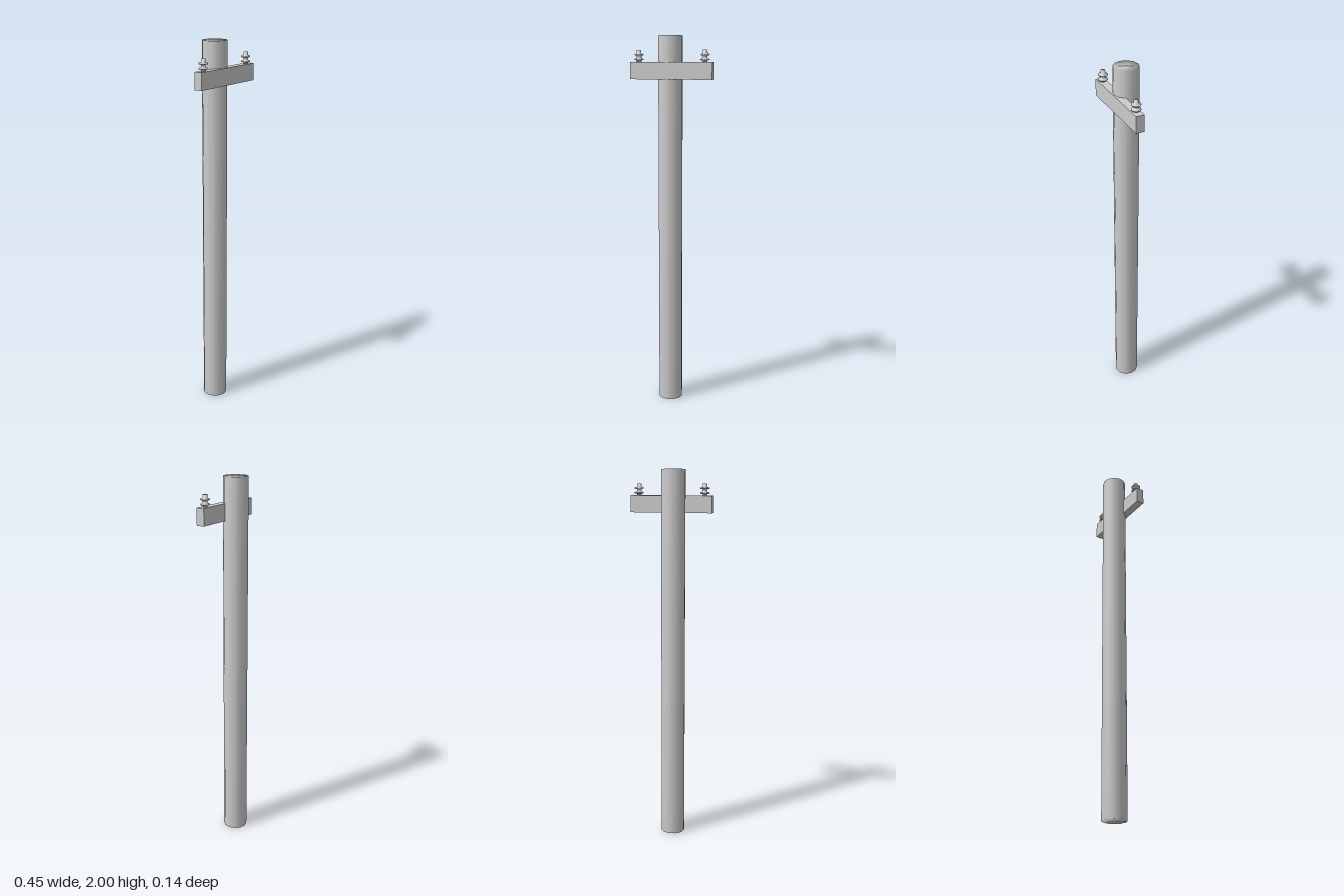
import * as THREE from 'three';

const material = new THREE.MeshStandardMaterial({ color: 0xcccccc });

// Turned part from [radius, height] pairs, bottom to top
function turned(name, profile, sides) {
  const points = profile.map(([r, y]) => new THREE.Vector2(r, y));
  const mesh = new THREE.Mesh(new THREE.LatheGeometry(points, sides), material);
  mesh.name = name;
  return mesh;
}

export function createModel() {
  const model = new THREE.Group();
  model.name = 'utilityPole';

  // Twelve-sided post with soft shading running over its ends
  const pole = turned('pole', [[0, 0], [0.065, 0], [0.065, 2], [0, 2]], 12);
  pole.position.set(-0.024, 0, -0.007);
  model.add(pole);

  // Crossarm assembly, turned very slightly about the pole
  const arm = new THREE.Group();
  arm.name = 'crossarmAssembly';
  arm.position.set(0, 1.775, 0.042);
  arm.rotation.y = 0.014;
  model.add(arm);

  const beam = new THREE.Mesh(new THREE.BoxGeometry(0.446, 0.089, 0.043), material);
  beam.name = 'crossarm';
  beam.position.y = 0.0445;
  arm.add(beam);

  // Insulators: two skirts on a stem with a small knob on top
  const profile = [
    [0, 0], [0.012, 0], [0.012, 0.008], [0.024, 0.010], [0.024, 0.016],
    [0.012, 0.019], [0.012, 0.032], [0.024, 0.035], [0.024, 0.041],
    [0.012, 0.044], [0.0116, 0.062], [0, 0.062],
  ];
  for (const [name, x] of [['rightInsulator', -0.18], ['leftInsulator', 0.18]]) {
    const insulator = turned(name, profile, 16);
    insulator.position.set(x, 0.089, 0);
    arm.add(insulator);
  }

  return model;
}
